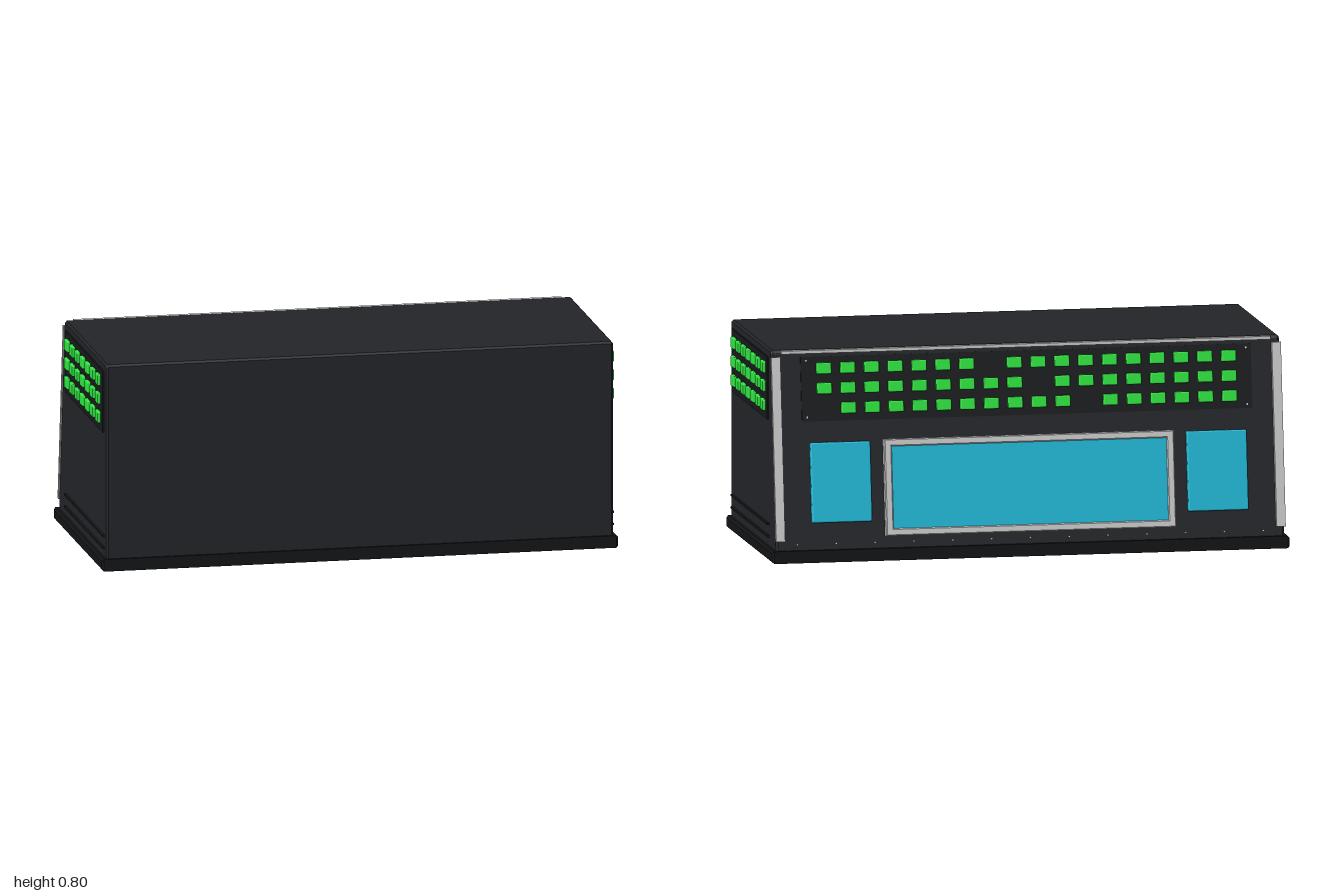
import * as THREE from 'three';
import { RoundedBoxGeometry } from 'three/addons/geometries/RoundedBoxGeometry.js';

const mat = (color) => new THREE.MeshStandardMaterial({ color });

export function createModel() {
  const model = new THREE.Group();
  const shell = mat(0x222428), dark = mat(0x17191c), black = mat(0x131416);
  const metal = mat(0xcccccc), green = mat(0x2ee640), cyan = mat(0x1fb8d6);

  function add(parent, name, geometry, material, x = 0, y = 0, z = 0) {
    const mesh = new THREE.Mesh(geometry, material);
    mesh.name = name;
    mesh.position.set(x, y, z);
    parent.add(mesh);
    return mesh;
  }
  const box = (w, h, d) => new THREE.BoxGeometry(w, h, d);
  // Side profile given as [z, y], extruded across x with a chamfered edge
  function across(profile, halfWidth, bevel) {
    const shape = new THREE.Shape(profile.map(([z, y]) => new THREE.Vector2(-z, y)));
    const g = new THREE.ExtrudeGeometry(shape, {
      depth: 2 * (halfWidth - bevel), bevelEnabled: true, bevelSegments: 1,
      bevelSize: bevel, bevelThickness: bevel, bevelOffset: -bevel,
    });
    return g.translate(0, 0, -(halfWidth - bevel)).rotateY(Math.PI / 2);
  }

  // Plinth and sloped cabinet
  add(model, 'base', across([[0.46, 0], [-0.447, 0], [-0.447, 0.047], [0.46, 0.047]], 1, 0.008), black);
  add(model, 'body', across([
    [0.45, 0.03], [-0.434, 0.03], [-0.328, 0.79], [-0.32, 0.8], [0.442, 0.8], [0.45, 0.792],
  ], 0.982, 0.008), shell);

  const keyGeometry = new RoundedBoxGeometry(0.057, 0.043, 0.022, 2, 0.005);
  const rows = [0.725, 0.653, 0.58];

  // Both sides: key panel with 3 x 7 keys, and two low rails
  for (const s of [1, -1]) {
    const side = new THREE.Group();
    side.name = s > 0 ? 'leftSide' : 'rightSide';
    side.position.x = s * 0.982;
    side.rotation.y = s * Math.PI / 2;
    model.add(side);
    // local x runs along world z, mirrored between the two sides
    add(side, 'sideKeyPanel', box(0.695, 0.24, 0.012), dark, -s * 0.063, 0.65, 0);
    for (const y of rows) {
      for (let i = 0; i < 7; i++) {
        add(side, 'sideKey', keyGeometry, green, -s * (0.347 - i * 0.0953), y, 0.007);
      }
    }
    for (const y of [0.083, 0.13]) {
      add(side, 'sideRail', box(0.715, 0.008, 0.016), dark, -s * 0.063, y, 0);
    }
  }

  // Sloped back: local x = -x of the model, y up the slope, z outward
  const back = new THREE.Group();
  back.name = 'backPanel';
  back.position.set(0, 0.045, -0.432);
  back.rotation.order = 'YXZ';
  back.rotation.set(-0.1386, Math.PI, 0);
  model.add(back);

  // Metal corner and top trims
  for (const s of [1, -1]) add(back, 'cornerTrim', box(0.035, 0.7, 0.018), metal, s * 0.967, 0.387, 0.008);
  add(model, 'topTrim', box(1.89, 0.012, 0.018), metal, 0, 0.793, -0.334);

  // Key field: each row skips a few columns
  add(back, 'backKeyPanel', box(1.74, 0.245, 0.008), dark, 0, 0.612, 0.001);
  const skipped = [[7], [9], [0, 11]];
  skipped.forEach((skip, r) => {
    for (let c = 0; c < 18; c++) {
      if (skip.includes(c)) continue;
      add(back, 'backKey', keyGeometry, green, (c - 8.5) * 0.092, 0.69 - r * 0.076, 0.009);
    }
  });

  // Central screen in a raised metal frame
  const rect = (path, w, h) => path.moveTo(-w, -h).lineTo(w, -h).lineTo(w, h).lineTo(-w, h).closePath();
  const frame = rect(new THREE.Shape(), 0.556, 0.18);
  frame.holes.push(rect(new THREE.Path(), 0.535, 0.16));
  add(back, 'screenFrame', new THREE.ExtrudeGeometry(frame, {
    depth: 0.026, bevelSize: 0.004, bevelThickness: 0.004, bevelSegments: 1,
  }), metal, 0, 0.231, 0);
  add(back, 'mainScreen', box(1.08, 0.325, 0.024), cyan, 0, 0.231, 0.011);

  // Smaller screens either side
  const smallScreen = new RoundedBoxGeometry(0.232, 0.305, 0.03, 2, 0.006);
  for (const s of [1, -1]) add(back, 'sideScreen', smallScreen, cyan, s * 0.727, 0.257, 0.005);

  // Small screws along the bottom and at the key panel corners
  const screw = new THREE.CylinderGeometry(0.004, 0.004, 0.008, 8).rotateX(Math.PI / 2);
  for (let i = 0; i < 13; i++) add(back, 'screw', screw, metal, (i - 6) * 0.15, 0.024, 0.002);
  for (const x of [-0.85, 0.85]) {
    for (const y of [0.505, 0.72]) add(back, 'screw', screw, metal, x, y, 0.004);
  }
  return model;
}
